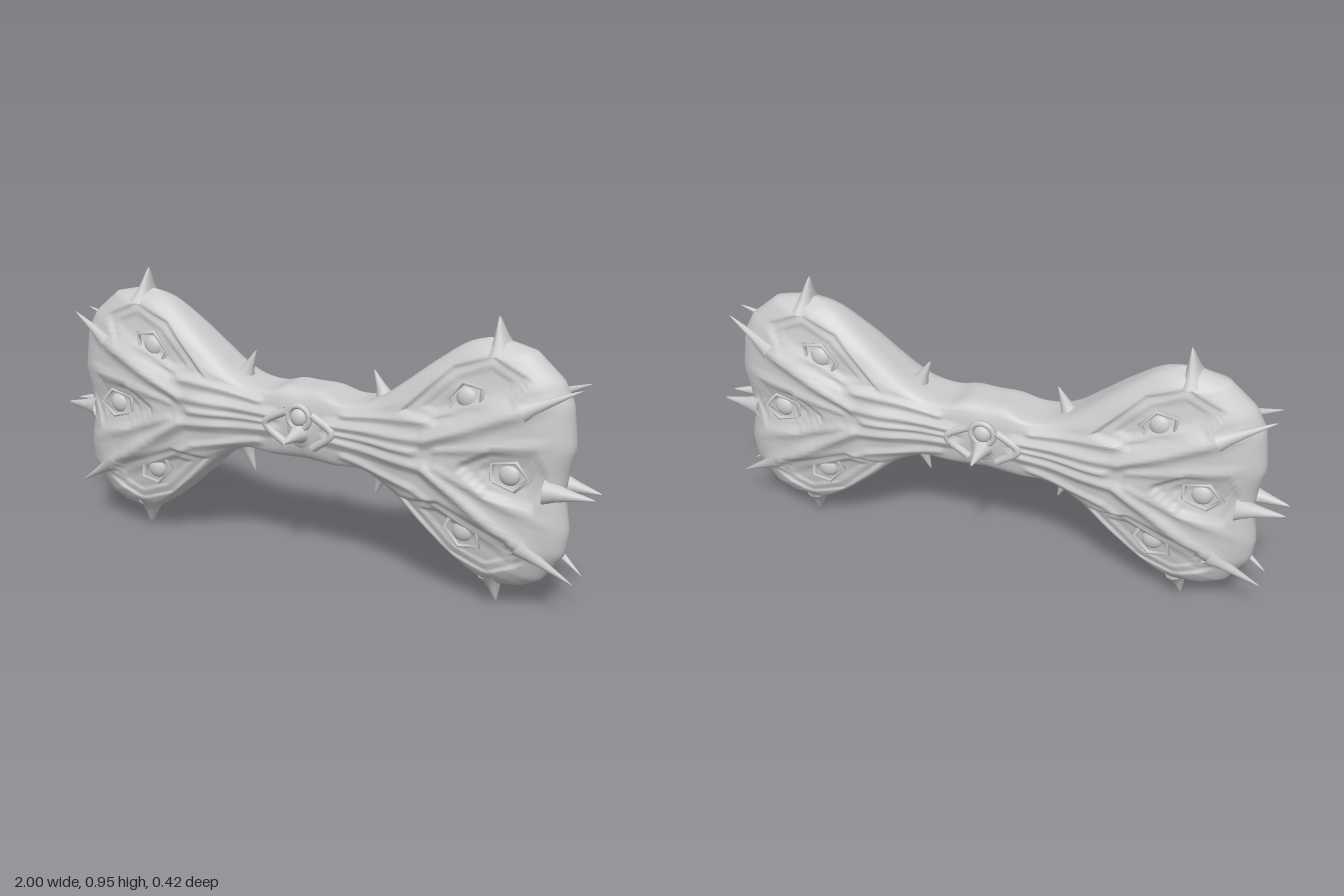
import * as THREE from 'three';
import { mergeVertices } from 'three/addons/utils/BufferGeometryUtils.js';

const mat = new THREE.MeshStandardMaterial({ color: 0xcccccc, roughness: 0.8, side: THREE.DoubleSide });
const V = (x, y, z = 0) => new THREE.Vector3(x, y, z);
const curve = pts => new THREE.CatmullRomCurve3(pts.map(p => V(...p)), false, 'centripetal');
const polyline = pts => {
  const path = new THREE.CurvePath();
  for (let i = 1; i < pts.length; i++) path.add(new THREE.LineCurve3(V(...pts[i - 1]), V(...pts[i])));
  return path;
};
const smooth = THREE.MathUtils.smoothstep;

// Outline of one wing: top edge, bottom edge and angular outer rim
const topEdge = curve([[0, .64], [.07, .638], [.13, .618], [.2, .62], [.27, .65], [.35, .71], [.45, .79], [.55, .86], [.62, .885]]);
const lowEdge = curve([[0, .39], [.1, .39], [.2, .405], [.3, .36], [.42, .25], [.55, .135], [.62, .09]]);
const rim = polyline([[.62, .09], [.68, .07], [.77, .085], [.83, .115], [.9, .215], [.91, .29], [.89, .41], [.9, .49], [.92, .57], [.905, .71], [.87, .78], [.78, .86], [.7, .88], [.62, .885]]);

// Raised folds: x1, y1, x2, y2, width, height
const folds = [
  [.1, .54, .46, .555, .03, .014], [.46, .555, .9, .745, .034, .02],
  [.1, .49, .46, .46, .03, .014], [.46, .46, .9, .165, .034, .02],
  [.12, .515, .42, .51, .022, .012], [.16, .58, .45, .62, .022, .01], [.45, .62, .86, .77, .018, .008],
  [.16, .44, .42, .38, .022, .01], [.42, .38, .84, .15, .018, .008],
  [.5, .53, .9, .6, .02, .01], [.5, .47, .88, .32, .02, .01],
];
// Sunken panels, corners clockwise, with the boss centre and frame tilt
const upper = [[.36, .63], [.53, .8], [.66, .85], [.79, .79], [.74, .71], [.5, .61]];
const panels = [
  { corners: upper, x: .585, y: .705, tilt: .62 },
  { corners: upper.map(([x, y]) => [x, .97 - y]).reverse(), x: .585, y: .262, tilt: -.62 },
  { corners: [[.56, .49], [.68, .555], [.82, .56], [.86, .48], [.82, .38], [.68, .4]], x: .735, y: .478, tilt: -.05 },
];

// Distance inside a convex panel, negative outside
function inset(x, y, corners) {
  let d = Infinity;
  corners.forEach(([ax, ay], i) => {
    const [bx, by] = corners[(i + 1) % corners.length], ex = bx - ax, ey = by - ay;
    d = Math.min(d, (ey * (x - ax) - ex * (y - ay)) / Math.hypot(ex, ey));
  });
  return d;
}

function segDist(x, y, [ax, ay, bx, by]) {
  const dx = bx - ax, dy = by - ay;
  const t = THREE.MathUtils.clamp(((x - ax) * dx + (y - ay) * dy) / (dx * dx + dy * dy), 0, 1);
  return Math.hypot(x - ax - t * dx, y - ay - t * dy);
}

// Surface relief at a point of the wing face
function relief(x, y) {
  let h = 0;
  for (const { corners } of panels) {
    const d = inset(x, y, corners);
    h -= .016 * smooth(d, 0, .012) + .008 * smooth(d, .034, .044);
  }
  let f = 0;
  for (const s of folds) f = Math.max(f, s[5] * Math.max(0, 1 - segDist(x, y, s) / s[4]) ** 1.2);
  const wobble = .003 * Math.sin(21 * x + 13 * y) * Math.sin(34 * y - 9 * x) * smooth(x, .1, .3);
  return h + f + wobble;
}

// Half thickness along x
const depthAt = x => .1 + .023 * smooth(x, .18, .42) - .004 * smooth(x, .6, .88);

// One wing: a patch between the three edges, closed front to back
function wingGeometry(nu = 110, nv = 96) {
  const pos = [], idx = [];
  const c00 = lowEdge.getPointAt(0), c01 = topEdge.getPointAt(0), c10 = rim.getPointAt(0), c11 = rim.getPointAt(1);
  const rims = [], count = (nu + 1) * (nv + 1);
  for (let j = 0; j <= nv; j++) rims.push(rim.getPointAt((1 + Math.sin(Math.PI * (j / nv - .5))) / 2));
  for (const side of [1, -1]) {
    for (let i = 0; i <= nu; i++) {
      const u = Math.sin(Math.PI / 2 * i / nu), T = topEdge.getPointAt(u), B = lowEdge.getPointAt(u);
      for (let j = 0; j <= nv; j++) {
        const a = Math.PI * (j / nv - .5), s = (1 + Math.sin(a)) / 2, R = rims[j];
        const blend = k => (1 - s) * B[k] + s * T[k] + u * (R[k] - (1 - s) * c10[k] - s * c11[k]);
        const x = blend('x'), y = blend('y');
        const edge = j === 0 || j === nv || i === nu ? 0 : Math.cos(a) ** (.42 + .35 * u * u) * Math.sqrt(1 - u ** 7);
        pos.push(x, y, side * edge * (depthAt(x) + relief(x, y) * smooth(edge, .2, .7)));
      }
    }
  }
  for (let i = 0; i < nu; i++) for (let j = 0; j < nv; j++) {
    const a = i * (nv + 1) + j, b = a + nv + 1, n = count;
    idx.push(a, b, b + 1, a, b + 1, a + 1);
    idx.push(n + a, n + b + 1, n + b, n + a, n + a + 1, n + b + 1);
  }
  const g = new THREE.BufferGeometry();
  g.setAttribute('position', new THREE.Float32BufferAttribute(pos, 3));
  g.setIndex(idx);
  const merged = mergeVertices(g, 1e-5);
  merged.computeVertexNormals();
  return merged;
}

function add(parent, name, geo, p = [0, 0, 0], scale = [1, 1, 1]) {
  const m = new THREE.Mesh(geo, mat);
  m.name = name;
  m.position.set(...p);
  m.scale.set(...scale);
  parent.add(m);
  return m;
}

// Thorn with a flared foot, from base to tip
function spike(parent, name, base, tip, r, zScale = 1) {
  const from = V(...base), d = V(...tip).sub(from), len = d.length();
  const prof = [[1.15, 0], [.8, .2], [.52, .45], [.27, .75], [.12, .92], [0, 1]].map(([a, b]) => new THREE.Vector2(a * r, b * len));
  const m = add(parent, name, new THREE.LatheGeometry(prof, 14), base, [1, 1, zScale]);
  m.quaternion.setFromUnitVectors(V(0, 1, 0), d.normalize());
}

function wing(geo, name) {
  const g = new THREE.Group();
  g.name = name;
  add(g, 'wingBody', geo);
  // thorns on the edges
  spike(g, 'topSpike', [.665, .845], [.65, .957], .036, 1.9);
  spike(g, 'bottomSpike', [.66, .11], [.675, .003], .036, 1.9);
  spike(g, 'upperInnerSpike', [.265, .63], [.222, .722], .03);
  spike(g, 'lowerInnerSpike', [.265, .385], [.23, .29], .03);
  for (const s of [1, -1]) {
    // paired thorns at the ends of the folds
    spike(g, 'upperFoldSpike', [.77, .69, s * .084], [.945, .772, s * .04], .028);
    spike(g, 'lowerFoldSpike', [.77, .25, s * .084], [.945, .135, s * .04], .028);
    spike(g, 'middleSpike', [.84, .435, s * .05], [1, .425, s * .03], .038);
    // bosses and angular frames in the sunken panels
    for (const { x, y, tilt } of panels) {
      add(g, 'panelBoss', new THREE.SphereGeometry(.036, 18, 12), [x, y, s * .078], [1, 1, .6]);
      const frame = add(g, 'panelFrame', new THREE.TorusGeometry(.058, .008, 6, 5), [x, y, s * .088], [1.2, .85, 1]);
      frame.rotation.z = tilt;
    }
  }
  return g;
}

export function createModel() {
  const model = new THREE.Group();
  model.name = 'spikedBow';
  const geo = wingGeometry();
  model.add(wing(geo, 'leftWing'));
  const right = wing(geo, 'rightWing');
  right.rotation.y = Math.PI;
  model.add(right);

  // central knot with boss, ring, thorn and side brackets on both faces
  const knot = new THREE.Group();
  knot.name = 'centreKnot';
  model.add(knot);
  add(knot, 'knotBand', new THREE.SphereGeometry(1, 28, 20), [0, .512, 0], [.105, .126, .112]);
  for (const s of [1, -1]) {
    add(knot, 'knotBoss', new THREE.SphereGeometry(.03, 18, 12), [0, .55, s * .104], [1, 1, .6]);
    add(knot, 'knotRing', new THREE.TorusGeometry(.04, .01, 8, 24), [0, .55, s * .104]);
    spike(knot, 'knotSpike', [0, .495, s * .095], [0, .49, s * .21], .034);
    for (const x of [1, -1]) {
      const path = new THREE.CatmullRomCurve3([V(.05 * x, .565, s * .103), V(.125 * x, .515, s * .105), V(.05 * x, .45, s * .1)]);
      add(knot, 'knotBracket', new THREE.TubeGeometry(path, 16, .014, 8));
    }
  }
  return model;
}
